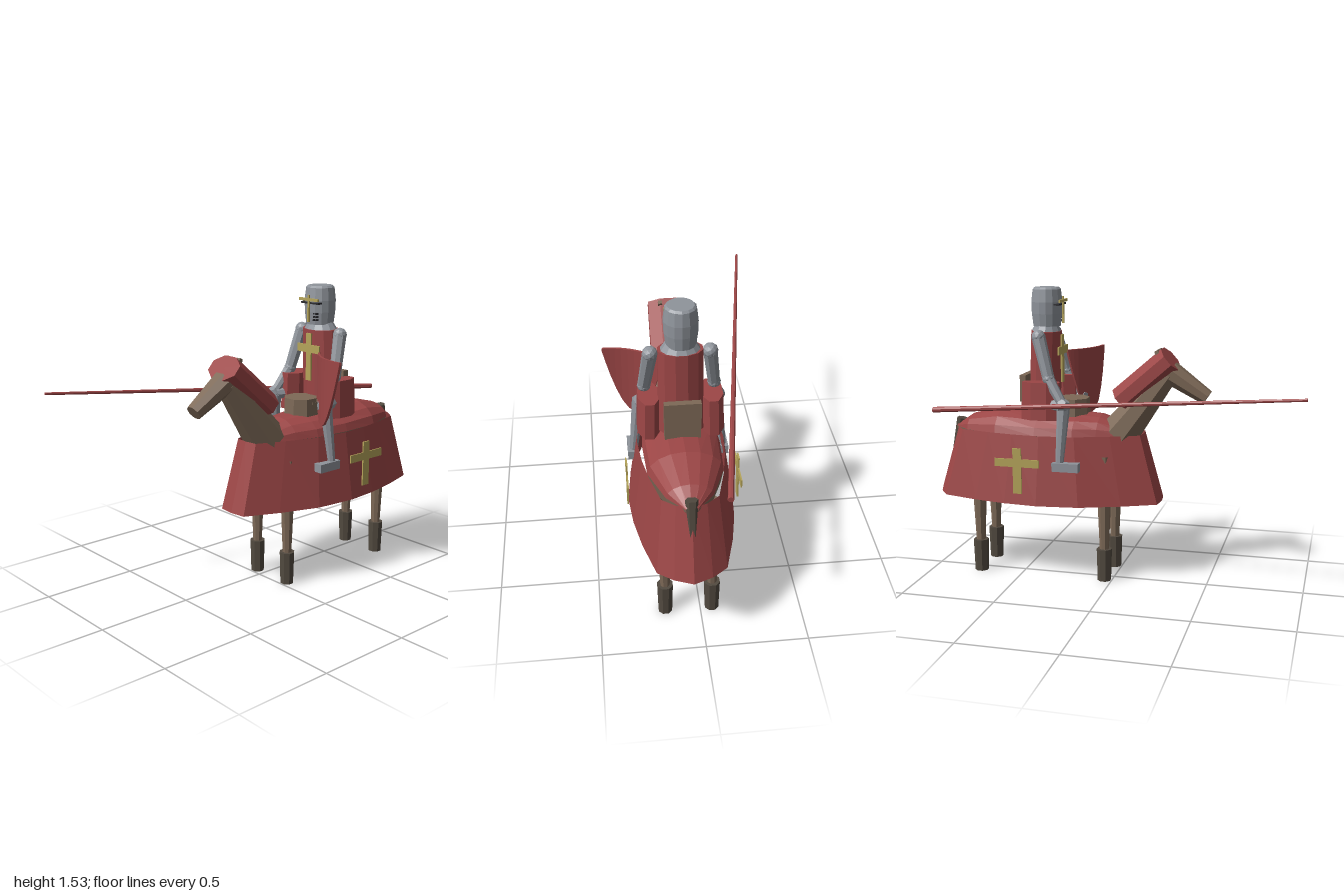
import * as THREE from 'three';

const V = (x, y, z) => new THREE.Vector3(x, y, z);
const CX = 0.06; // centre line of horse and rider

export function createModel() {
  const root = new THREE.Group();
  root.name = 'mountedKnight';

  const mat = (name, color, side = THREE.FrontSide) => {
    const m = new THREE.MeshStandardMaterial({ color, side });
    m.name = name;
    return m;
  };
  const red = mat('red cloth', 0x9c4646, THREE.DoubleSide);
  const brown = mat('brown hide', 0x7d6957, THREE.DoubleSide);
  const dark = mat('dark hoof', 0x524a40);
  const steel = mat('steel', 0x8f949b);
  const gold = mat('gold', 0xb5a45a);
  const black = mat('black slit', 0x2a2a2e);

  // Faceted mesh: every face gets its own normal
  const add = (name, geo, material) => {
    const g = geo.index ? geo.toNonIndexed() : geo;
    g.computeVertexNormals();
    const m = new THREE.Mesh(g, material);
    m.name = name;
    root.add(m);
    return m;
  };
  // Tapered prism from a to b, optionally widened in its own x and z
  const limb = (name, material, a, b, ra, rb, n = 8, sx = 1, sz = 1) => {
    const d = b.clone().sub(a);
    const g = new THREE.CylinderGeometry(rb, ra, d.length(), n);
    g.rotateY(Math.PI / n).scale(sx, 1, sz);
    const m = add(name, g, material);
    m.quaternion.setFromUnitVectors(V(0, 1, 0), d.normalize());
    m.position.copy(a).add(b).multiplyScalar(0.5);
    return m;
  };
  const box = (name, material, w, h, d, x, y, z) => {
    const m = add(name, new THREE.BoxGeometry(w, h, d), material);
    m.position.set(x, y, z);
    return m;
  };
  // Grid surface whose points come from a rule
  const sheet = (name, material, cols, rows, rule) => {
    const g = new THREE.PlaneGeometry(1, 1, cols, rows);
    const p = g.attributes.position;
    for (let k = 0; k < p.count; k++) {
      p.setXYZ(k, ...rule(k % (cols + 1), Math.floor(k / (cols + 1))));
    }
    return add(name, g, material);
  };

  // Horse body: z, half width, top height; cloth above, hide below
  const ribs = [
    [-0.89, 0.03, 0.79], [-0.8, 0.11, 0.85], [-0.62, 0.18, 0.897], [-0.4, 0.19, 0.885],
    [-0.2, 0.175, 0.885], [-0.08, 0.14, 0.877], [0.03, 0.105, 0.84], [0.11, 0.06, 0.785],
  ];
  const half = (sign) => (i, j) => {
    const [z, w, top] = ribs[j];
    const a = Math.PI * i / 8;
    const h = sign > 0 ? top - 0.78 : w * 1.15;
    return [CX - sign * w * Math.cos(a), 0.78 + sign * h * Math.sin(a), z];
  };
  sheet('backCloth', red, 8, ribs.length - 1, half(1));
  sheet('belly', brown, 8, ribs.length - 1, half(-1));

  // Hanging cloth skirt: half outline (half width, z), mirrored
  const hem = [
    [0, -1], [0.09, -0.965], [0.165, -0.91], [0.218, -0.72], [0.25, -0.55], [0.265, -0.37],
    [0.24, -0.15], [0.165, 0.06], [0.085, 0.235], [0, 0.245],
  ];
  const loop = [...hem, ...hem.slice(0, -1).reverse().map(([x, z]) => [-x, z])];
  sheet('skirtCloth', red, loop.length - 1, 1, (i, j) => {
    const [x, z] = loop[i];
    return j ? [CX + x, 0.425, z] : [CX + x * 0.8, 0.785, -0.89 + (z + 1) * 0.832];
  });

  // Legs and hooves
  for (const x of [-0.058, 0.175]) {
    for (const z of [-0.04, -0.735]) {
      limb('horseLeg', brown, V(x, 0.16, z), V(x, 0.68, z), 0.024, 0.046);
      limb('hoof', dark, V(x, 0, z), V(x, 0.175, z), 0.036, 0.041);
    }
  }

  // Neck, neck cover, head, ears, tail
  limb('horseNeck', brown, V(CX, 0.78, 0.015), V(CX, 1.11, 0.27), 0.106, 0.06, 8, 1.14);
  limb('neckCover', red, V(CX, 0.96, 0.032), V(CX, 1.182, 0.284), 0.076, 0.074, 8, 1.5).scale.x = 0.98;
  limb('horseHead', brown, V(CX, 1.112, 0.28), V(CX, 0.987, 0.475), 0.062, 0.04, 8, 1.1);
  for (const s of [-1, 1]) {
    limb('ear', brown, V(CX + s * 0.042, 1.17, 0.245), V(CX + s * 0.042, 1.225, 0.215), 0.02, 0.014, 4);
    limb('eye', black, V(CX + s * 0.04, 1.075, 0.36), V(CX + s * 0.05, 1.075, 0.36), 0.008, 0.006, 6);
  }
  limb('tail', dark, V(CX, 0.82, -0.87), V(CX, 0.41, -0.955), 0.03, 0.017, 6);

  // Saddle
  limb('pommel', brown, V(CX, 0.85, -0.24), V(CX, 0.96, -0.24), 0.094, 0.09);
  box('cantle', brown, 0.175, 0.14, 0.033, CX, 1.01, -0.488);
  box('saddleSeat', brown, 0.17, 0.08, 0.25, CX, 0.9, -0.37);

  // Rider torso and collar
  limb('torso', red, V(CX, 0.88, -0.395), V(CX, 1.31, -0.38), 0.112, 0.109, 12, 1, 0.72);
  limb('collar', steel, V(CX, 1.305, -0.38), V(CX, 1.345, -0.378), 0.098, 0.07, 12, 1, 0.8);

  // Helmet with visor cross
  const helm = [[0, 1.33], [0.072, 1.335], [0.08, 1.4], [0.082, 1.46], [0.074, 1.525], [0.064, 1.535], [0, 1.535]];
  add('helmet', new THREE.LatheGeometry(helm.map(([r, y]) => new THREE.Vector2(r, y)), 14), steel)
    .position.set(CX - 0.003, 0, -0.376);
  box('visorCrossUpright', gold, 0.011, 0.14, 0.009, CX, 1.42, -0.289);
  box('visorCrossBar', gold, 0.138, 0.014, 0.009, CX, 1.466, -0.289);
  box('eyeSlit', black, 0.125, 0.009, 0.03, CX, 1.448, -0.308);
  for (let i = 0; i < 6; i++) {
    box('breathHole', black, 0.007, 0.009, 0.02, CX + 0.026 + (i % 2) * 0.016, 1.362 + (i >> 1) * 0.016, -0.308);
  }

  // Chest cross
  box('chestCrossUpright', gold, 0.036, 0.25, 0.009, CX, 1.165, -0.296);
  box('chestCrossBar', gold, 0.16, 0.042, 0.008, CX, 1.21, -0.294);

  // Crosses on both sides of the skirt
  for (const x of [-0.214, 0.33]) {
    box('skirtCrossUpright', gold, 0.008, 0.24, 0.046, x, 0.61, -0.463);
    box('skirtCrossBar', gold, 0.007, 0.042, 0.24, x, 0.652, -0.465);
  }

  // Arms and legs, mirrored
  for (const s of [-1, 1]) {
    const at = (x, y, z) => V(CX + s * x, y, z);
    const shoulder = at(0.14, 1.29, -0.38);
    const elbow = at(0.168, 1.08, -0.32);
    const hand = s < 0 ? at(0.2, 0.95, -0.235) : at(0.17, 0.94, -0.24);
    add('shoulder', new THREE.IcosahedronGeometry(0.037, 1), steel).position.copy(shoulder);
    limb('upperArm', steel, shoulder, elbow, 0.036, 0.031);
    add('elbow', new THREE.IcosahedronGeometry(0.033, 1), steel).position.copy(elbow);
    limb('forearm', steel, elbow, hand, 0.031, 0.024);
    add('gauntlet', new THREE.DodecahedronGeometry(0.038), steel).position.copy(hand);
    limb('thighCloth', red, at(0.155, 0.865, -0.365), at(0.15, 1.06, -0.365), 0.058, 0.056, 8, 1, 1.9);
    const knee = at(0.19, 0.945, -0.235);
    const ankle = at(0.224, 0.65, -0.25);
    limb('kneePlate', steel, at(0.15, 0.95, -0.34), knee, 0.036, 0.03);
    limb('shin', steel, knee, ankle, 0.034, 0.021);
    box('foot', steel, 0.05, 0.045, 0.14, CX + s * 0.228, 0.635, -0.215);
  }

  // Lance
  limb('lance', red, V(-0.1, 0.888, -0.968), V(-0.416, 1.08, 1), 0.015, 0.007, 8);

  // Shield: curved plate narrowing to a point
  const plate = new THREE.BoxGeometry(2, 1, 0.012, 14, 1, 1);
  const p = plate.attributes.position;
  for (let i = 0; i < p.count; i++) {
    const t = Math.sin(p.getX(i) * Math.PI / 2);
    const depth = 0.012 + 0.343 * (1 - Math.abs(t) ** 2.1);
    p.setXYZ(i, t * 0.152, (p.getY(i) - 0.5) * depth, p.getZ(i) + 0.035 * (1 - t * t));
  }
  const shield = add('shield', plate, red);
  shield.position.set(0.276, 1.2, -0.228);
  shield.rotation.y = -0.44;

  return root;
}
